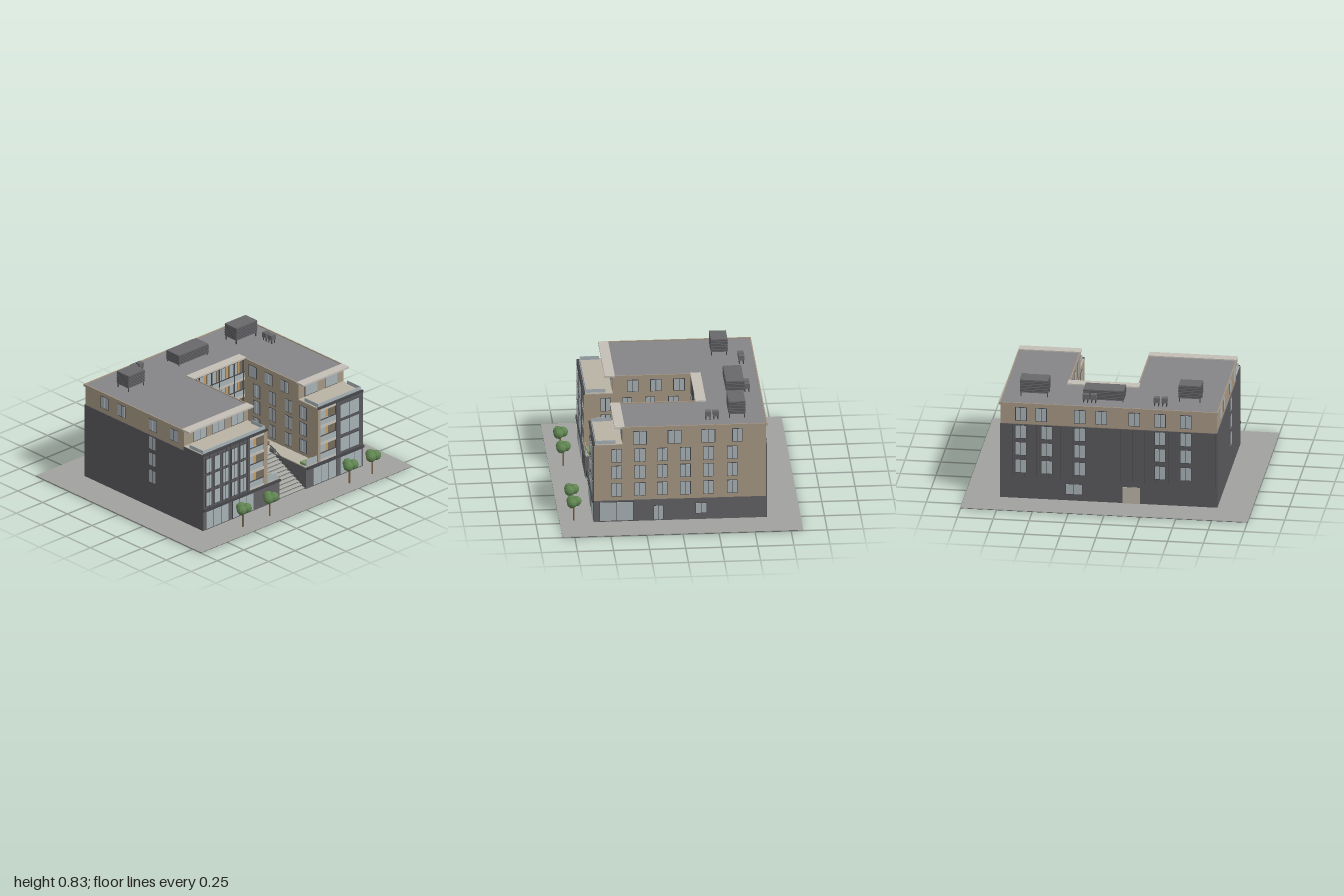
import * as THREE from 'three';

const mat = (color, flat = false) => new THREE.MeshStandardMaterial({ color, flatShading: flat });
const M = {
  dark: mat(0x58585b), base: mat(0x626265), tan: mat(0xa59683), glass: mat(0xa6b0b4), frame: mat(0x45464a),
  wood: mat(0xc39a62), roof: mat(0x858587), paving: mat(0xa0a09e), beige: mat(0xb9b2a5), trim: mat(0xc2beb6),
  steps: mat(0xadada8), unit: mat(0x68686b), trunk: mat(0x7a6248), leaf: mat(0x5f8450, true), hedge: mat(0x7d9a66),
  planter: mat(0x83705a), under: mat(0x4a4a47)
};

export function createModel() {
  const model = new THREE.Group();
  let parent = model;
  const section = (name) => {
    parent = new THREE.Group();
    parent.name = name;
    model.add(parent);
  };
  const add = (name, geo, m, x = 0, y = 0, z = 0) => {
    const mesh = new THREE.Mesh(geo, m);
    mesh.name = name;
    mesh.position.set(x, y, z);
    parent.add(mesh);
    return mesh;
  };
  // Box given by its bounds
  const box = (name, m, x0, x1, y0, y1, z0, z1) =>
    add(name, new THREE.BoxGeometry(x1 - x0, y1 - y0, z1 - z0), m, (x0 + x1) / 2, (y0 + y1) / 2, (z0 + z1) / 2);
  // Round bar between two points
  const bar = (name, m, a, b, r) => {
    const p = new THREE.Vector3(...a), q = new THREE.Vector3(...b);
    const mesh = add(name, new THREE.CylinderGeometry(r, r, p.distanceTo(q), 6), m);
    mesh.position.copy(p).add(q).multiplyScalar(0.5);
    mesh.quaternion.setFromUnitVectors(new THREE.Vector3(0, 1, 0), q.sub(p).normalize());
  };
  // Window on a wall: face is front, back, right (+x side) or left (-x side); u runs along the wall
  const turn = { front: 0, right: Math.PI / 2, back: Math.PI, left: -Math.PI / 2 };
  const win = (face, plane, u, y0, y1, w, panes = 2) => {
    const g = new THREE.Group(), h = y1 - y0, edge = 0.004, pw = (w - edge * (panes + 1)) / panes;
    g.name = face + 'Window';
    const frame = new THREE.Mesh(new THREE.BoxGeometry(w, h, 0.005), M.frame);
    frame.name = 'windowFrame';
    g.add(frame);
    for (let i = 0; i < panes; i++) {
      const pane = new THREE.Mesh(new THREE.BoxGeometry(pw, h - 2 * edge, 0.008), M.glass);
      pane.name = 'windowPane';
      pane.position.x = -w / 2 + edge + pw / 2 + i * (pw + edge);
      g.add(pane);
    }
    const y = (y0 + y1) / 2;
    if (face === 'front' || face === 'back') g.position.set(u, y, plane);
    else g.position.set(plane, y, u);
    g.rotation.y = turn[face];
    parent.add(g);
  };
  const floors = [[0.195, 0.295], [0.325, 0.425], [0.45, 0.55]];
  const top = [0.59, 0.68];

  section('site');
  box('pavement', M.paving, -1, 1, 0.002, 0.006, -0.835, 0.835);
  box('underside', M.under, -1, 1, 0, 0.002, -0.835, 0.835);

  // Ground floor, open where the stair enters
  section('groundFloor');
  box('podiumBack', M.base, -0.757, 0.755, 0.005, 0.165, -0.598, 0.24);
  box('podiumLeftFront', M.base, -0.757, -0.035, 0.005, 0.165, 0.24, 0.6);
  box('podiumRightFront', M.base, 0.215, 0.755, 0.005, 0.165, 0.24, 0.6);
  box('cornice', M.frame, -0.76, -0.035, 0.152, 0.17, 0.6, 0.612);
  box('cornice', M.frame, 0.22, 0.757, 0.152, 0.17, 0.6, 0.612);
  for (const [x0, x1, n] of [[-0.735, -0.52, 3], [-0.485, -0.285, 3], [0.28, 0.5, 3], [0.535, 0.74, 3]])
    win('front', 0.6, (x0 + x1) / 2, 0.01, 0.147, x1 - x0, n);
  win('right', 0.755, 0.443, 0.01, 0.155, 0.235, 2);
  win('right', 0.755, 0.15, 0.01, 0.12, 0.07);
  win('right', 0.755, -0.145, 0.05, 0.13, 0.08);
  win('back', -0.6, 0.24, 0.05, 0.13, 0.12);
  box('backDoor', M.beige, -0.22, -0.1, 0.006, 0.125, -0.606, -0.59);

  // Main U-shaped body
  section('upperFloors');
  box('leftWing', M.tan, -0.755, -0.15, 0.165, 0.7, -0.595, 0.4);
  box('rightWing', M.tan, 0.33, 0.755, 0.165, 0.7, -0.595, 0.4);
  box('rearWing', M.tan, -0.15, 0.33, 0.165, 0.7, -0.595, -0.2);
  box('backCladding', M.dark, -0.76, 0.755, 0.005, 0.555, -0.601, -0.594);
  box('leftCladding', M.dark, -0.76, -0.753, 0.005, 0.555, -0.6, 0.4);
  box('leftFrontCladding', M.dark, -0.76, -0.753, 0.005, 0.585, 0.4, 0.6);
  for (let i = 0; i <= 18; i++) {
    const x = -0.75 + i * 0.0833;
    box('backSeam', M.frame, x - 0.001, x + 0.001, 0.165, 0.555, -0.603, -0.6);
  }
  for (const [y0, y1] of floors) {
    for (const z of [0.44, 0.28, 0.125, -0.035, -0.195, -0.36]) win('right', 0.755, z, y0, y1, 0.075);
    for (const x of [0.61, 0.43, 0.2, -0.36, -0.54]) win('back', -0.602, x, y0, y1, 0.08);
    win('left', -0.76, 0.09, y0, y1, 0.07);
    for (const z of [0.45, 0.3, 0.14, -0.02]) {
      win('right', -0.15, z, y0, y1, 0.07);
      win('left', 0.33, z, y0, y1, 0.07);
    }
  }
  for (const [z, w] of [[0.28, 0.095], [0.04, 0.095], [-0.195, 0.095], [-0.395, 0.07]])
    win('right', 0.755, z, 0.58, 0.68, w);
  for (const z of [0.3, 0.09, -0.23, -0.4]) win('left', -0.755, z, ...top, 0.08);
  for (const z of [0.26, 0.1, -0.06]) {
    win('right', -0.15, z, ...top, 0.08);
    win('left', 0.33, z, ...top, 0.08);
  }
  for (const x of [0.61, 0.47, 0.2, 0.05, -0.18, -0.36, -0.54]) win('back', -0.597, x, 0.58, 0.68, 0.08);
  for (const x of [-0.605, -0.43, -0.25, 0.45, 0.64]) win('front', 0.4, x, 0.59, 0.678, 0.12);

  // Front blocks: dark bay, recessed balconies, end pier and roof terrace
  const frontBlock = (name, bay, loggia, pier, rail) => {
    section(name);
    box('bayCore', M.tan, bay[0], bay[1], 0.165, 0.58, 0.4, 0.59);
    box('bayCladding', M.dark, bay[0], bay[1], 0.165, 0.585, 0.588, 0.602);
    box('pier', M.tan, pier[0], pier[1], 0.165, 0.58, 0.4, 0.6);
    box('balconyBackWall', M.wood, loggia[0], loggia[1], 0.165, 0.58, 0.4, 0.52);
    const mid = (loggia[0] + loggia[1]) / 2, w = loggia[1] - loggia[0];
    for (const y of [0.165, 0.295, 0.425, 0.555])
      box('balconySlab', M.trim, loggia[0], loggia[1], y, y + 0.02, 0.51, 0.6);
    for (const [y0, y1] of floors) {
      win('front', 0.522, mid, y0 - 0.01, y1 - 0.015, w * 0.62);
      box('balconyGlass', M.glass, loggia[0], loggia[1], y0 - 0.012, y0 + 0.035, 0.594, 0.598);
      box('balconyRail', M.frame, loggia[0], loggia[1], y0 + 0.035, y0 + 0.039, 0.592, 0.6);
    }
    const x0 = Math.min(bay[0], pier[0]), x1 = Math.max(bay[1], pier[1]);
    box('terraceFloor', M.beige, x0, x1, 0.578, 0.586, 0.4, 0.598);
    box('terraceEdge', M.frame, x0, x1, 0.575, 0.59, 0.59, 0.604);
    box('terraceGlass', M.glass, rail[0], rail[1], 0.586, 0.612, 0.582, 0.586);
    for (const x of rail) box('terraceSideGlass', M.glass, x - 0.002, x + 0.002, 0.586, 0.612, 0.45, 0.586);
    box('roofCanopy', M.trim, x0 - 0.005, x1 + 0.005, 0.702, 0.715, 0.385, 0.455);
  };
  frontBlock('leftFrontBlock', [-0.755, -0.32], [-0.32, -0.185], [-0.185, -0.15], [-0.745, -0.165]);
  for (const [y0, y1] of floors)
    for (const x of [-0.71, -0.63, -0.55, -0.467, -0.385]) win('front', 0.602, x, y0 - 0.01, y1, 0.058);
  for (let x = -0.745; x < -0.32; x += 0.0405) box('claddingFin', M.frame, x - 0.001, x + 0.001, 0.17, 0.575, 0.6, 0.605);
  frontBlock('rightFrontBlock', [0.5, 0.755], [0.352, 0.5], [0.33, 0.352], [0.342, 0.745]);
  box('rightSideFacing', M.tan, 0.75, 0.756, 0.165, 0.582, 0.4, 0.599);
  for (const [y0, y1] of floors) win('front', 0.602, 0.623, y0 - 0.01, y1, 0.18);

  // Roof deck, parapet and plant
  section('roof');
  const outline = [[-0.76, -0.6], [0.757, -0.6], [0.757, 0.4], [0.33, 0.4], [0.33, -0.2], [-0.15, -0.2], [-0.15, 0.4], [-0.76, 0.4]];
  const deck = new THREE.ExtrudeGeometry(
    new THREE.Shape(outline.map(([x, z]) => new THREE.Vector2(x, -z))), { depth: 0.008, bevelEnabled: false });
  add('roofDeck', deck.rotateX(-Math.PI / 2), M.roof, 0, 0.699, 0);
  outline.forEach(([x, z], i) => {
    const [x2, z2] = outline[(i + 1) % outline.length], t = 0.004;
    box('parapet', M.tan, Math.min(x, x2) - t, Math.max(x, x2) + t, 0.695, 0.713, Math.min(z, z2) - t, Math.max(z, z2) + t);
  });
  const roofUnit = (x0, x1, y0, y1, z0, z1, slats) => {
    box('roofUnit', M.unit, x0, x1, y0, y1, z0, z1);
    for (const x of [x0 + 0.006, x1 - 0.006]) for (const z of [z0 + 0.006, z1 - 0.006])
      box('unitLeg', M.frame, x - 0.003, x + 0.003, 0.705, y0, z - 0.003, z + 0.003);
    for (let i = 1; i < slats; i++) {
      const y = y0 + (y1 - y0) * i / slats;
      box('louvre', M.frame, x0 - 0.002, x1 + 0.002, y - 0.0015, y + 0.0015, z0 - 0.002, z1 + 0.002);
    }
  };
  roofUnit(-0.62, -0.465, 0.735, 0.83, -0.42, -0.305, 8);
  roofUnit(-0.09, 0.19, 0.718, 0.792, -0.485, -0.36, 7);
  roofUnit(0.44, 0.635, 0.735, 0.83, -0.46, -0.345, 8);
  for (const [x, z] of [[-0.38, -0.505], [-0.325, -0.505], [0.115, -0.505], [0.17, -0.505], [0.64, -0.255], [0.64, -0.2]])
    roofUnit(x - 0.02, x + 0.02, 0.732, 0.768, z - 0.02, z + 0.02, 0);

  // Courtyard facade with long balconies
  section('courtyardFacade');
  box('timberWall', M.wood, -0.148, 0.328, 0.17, 0.7, -0.201, -0.192);
  [0.175, 0.305, 0.435, 0.565].forEach((y, i) => {
    for (const x of [-0.06, 0.055, 0.15, 0.265]) win('front', -0.19, x, y + 0.005, y + 0.108, 0.085);
    if (!i) return;
    box('longBalcony', M.trim, -0.15, 0.33, y - 0.018, y, -0.2, -0.14);
    box('longBalconyGlass', M.glass, -0.145, 0.325, y, y + 0.04, -0.144, -0.141);
    box('longBalconyRail', M.frame, -0.148, 0.328, y + 0.04, y + 0.045, -0.146, -0.139);
  });
  for (const x of [-0.14, -0.1, 0.02, 0.09, 0.23, 0.315]) box('column', M.frame, x - 0.003, x + 0.003, 0.17, 0.705, -0.146, -0.139);
  box('courtyardCanopy', M.trim, -0.16, 0.34, 0.705, 0.717, -0.21, -0.138);

  // Courtyard deck, entrance stair and furniture
  section('courtyard');
  box('courtyardDeck', M.beige, -0.15, 0.33, 0.164, 0.172, -0.2, 0.24);
  box('deckLeft', M.beige, -0.15, -0.035, 0.164, 0.172, 0.24, 0.595);
  box('deckRight', M.beige, 0.215, 0.33, 0.164, 0.172, 0.24, 0.595);
  const steps = 12;
  for (let i = 0; i < steps; i++) {
    const y = 0.172 * (i + 1) / steps, z = 0.59 - 0.35 * i / steps;
    box('step', M.steps, -0.035, 0.215, 0.004, y, z - 0.35 / steps, z);
    box('stepEdge', M.base, -0.034, 0.214, y - 0.006, y - 0.002, z - 0.002, z + 0.001);
  }
  for (const x of [-0.032, 0.212]) {
    bar('handrail', M.frame, [x, 0.05, 0.59], [x, 0.215, 0.25], 0.003);
    bar('handrail', M.frame, [x, 0.215, 0.25], [x, 0.215, 0.2], 0.003);
    for (const [y, z] of [[0, 0.59], [0.085, 0.42], [0.17, 0.25], [0.17, 0.2]])
      bar('railPost', M.frame, [x, y, z], [x, z < 0.25 ? 0.215 : y + 0.048, z], 0.003);
    box('stairLamp', M.unit, x - 0.009, x + 0.009, 0.17, 0.2, 0.245, 0.29);
  }
  for (const [x0, x1] of [[-0.148, -0.05], [0.225, 0.328]]) {
    box('hedge', M.hedge, x0, x1, 0.17, 0.19, 0.53, 0.582);
    box('guardGlass', M.glass, x0, x1, 0.17, 0.222, 0.588, 0.592);
  }
  for (const z of [-0.105, -0.005]) {
    box('benchSeat', M.wood, 0.048, 0.132, 0.19, 0.197, z - 0.01, z + 0.01);
    for (const x of [0.055, 0.12]) box('benchLeg', M.frame, x, x + 0.006, 0.172, 0.19, z - 0.008, z + 0.008);
  }
  for (const [x, z] of [[-0.05, 0.11], [0.23, 0.115]]) box('planter', M.planter, x - 0.048, x + 0.048, 0.17, 0.198, z - 0.048, z + 0.048);
  bar('shrubStem', M.trunk, [0.23, 0.198, 0.115], [0.23, 0.225, 0.115], 0.005);
  add('shrub', new THREE.IcosahedronGeometry(0.015, 0), M.leaf, 0.23, 0.232, 0.115);

  // Faceted trees: trunk, branches and leaf balls
  const tree = (name, x, y, z, h, r, balls) => {
    section(name);
    const fork = y + h * 0.7;
    bar('trunk', M.trunk, [x, y, z], [x, fork, z], 0.006);
    for (const [dx, dy, dz] of balls) {
      bar('branch', M.trunk, [x, fork, z], [x + dx, y + h + dy, z + dz], 0.0035);
      add('leaves', new THREE.IcosahedronGeometry(r, 1), M.leaf, x + dx, y + h + dy, z + dz);
    }
  };
  const trio = [[-0.024, 0, 0.014], [0.024, 0, 0.014], [0, 0.004, -0.018]];
  for (const x of [-0.51, -0.255, 0.5, 0.715]) tree('streetTree', x, 0, 0.735, 0.147, 0.036, trio);
  tree('courtyardTree', -0.05, 0.19, 0.105, 0.17, 0.028,
    [[-0.04, 0, 0.03], [0.04, 0.01, 0.0], [0, 0.015, -0.03], [0, -0.005, 0.03], [-0.03, 0.01, -0.005], [0.025, 0, 0.035]]);
  return model;
}
